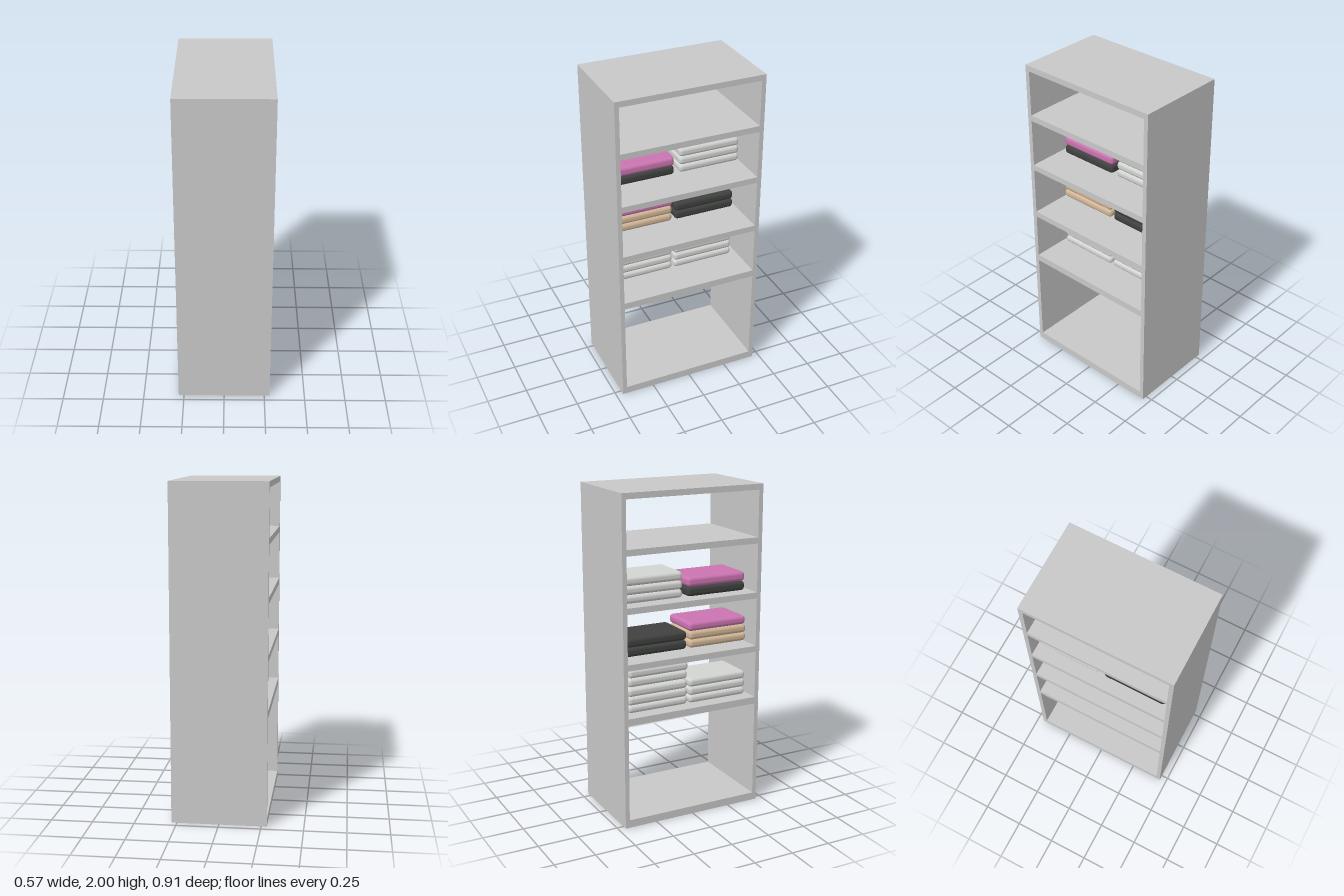
import * as THREE from 'three';
import { RoundedBoxGeometry } from 'three/addons/geometries/RoundedBoxGeometry.js';

const material = (name, color, side = THREE.FrontSide) => {
  const m = new THREE.MeshStandardMaterial({ color, side });
  m.name = name;
  return m;
};

const HALF_X = 0.283, HALF_Z = 0.457, INNER_Z = 0.43;

function rectangle(target, x0, x1, y0, y1) {
  target.moveTo(x0, y0);
  target.lineTo(x1, y0);
  target.lineTo(x1, y1);
  target.lineTo(x0, y1);
  target.closePath();
  return target;
}

// Shelf frame: a rectangle with five open compartments, extruded along x
function frameGeometry() {
  const shape = rectangle(new THREE.Shape(), -HALF_Z, HALF_Z, 0, 2);
  const compartments = [[0.048, 0.646], [0.689, 0.98], [1.017, 1.314], [1.351, 1.648], [1.685, 1.965]];
  for (const [y0, y1] of compartments) {
    shape.holes.push(rectangle(new THREE.Path(), -INNER_Z, INNER_Z, y0, y1));
  }
  const solid = new THREE.ExtrudeGeometry(shape, { depth: HALF_X * 2, bevelEnabled: false });
  solid.translate(0, 0, -HALF_X).rotateY(Math.PI / 2);

  // Leave the base open underneath: drop the triangles lying on y = 0
  const p = solid.attributes.position;
  const kept = [];
  for (let i = 0; i < p.count; i += 3) {
    if (Math.max(p.getY(i), p.getY(i + 1), p.getY(i + 2)) < 1e-5) continue;
    for (let k = i; k < i + 3; k++) kept.push(p.getX(k), p.getY(k), p.getZ(k));
  }
  const open = new THREE.BufferGeometry();
  open.setAttribute('position', new THREE.Float32BufferAttribute(kept, 3));
  open.computeVertexNormals();
  return open;
}

export function createModel() {
  const model = new THREE.Group();
  model.name = 'linenShelf';

  const grey = material('shelfGrey', 0xc8c8c8, THREE.DoubleSide);
  const white = material('whiteLinen', 0xd2d4d1);
  const dark = material('charcoalLinen', 0x3f413f);
  const pink = material('pinkLinen', 0xcb74b1);
  const tan = material('tanLinen', 0xd0b596);

  const frame = new THREE.Mesh(frameGeometry(), grey);
  frame.name = 'shelfFrame';
  model.add(frame);

  // Folded linen: stack name, then [material, bottom, top, centre z] for each piece
  const stacks = {
    lowerFrontStack: [[white, 0.689, 0.737, 0.212], [white, 0.737, 0.79, 0.212], [white, 0.79, 0.843, 0.212]],
    lowerBackStack: [
      [white, 0.689, 0.737, -0.194], [white, 0.737, 0.79, -0.194], [white, 0.79, 0.843, -0.194],
      [white, 0.85, 0.903, -0.194], [white, 0.904, 0.958, -0.189],
    ],
    middleFrontStack: [[tan, 1.036, 1.087, 0.212], [tan, 1.087, 1.14, 0.212], [pink, 1.14, 1.194, 0.207]],
    middleBackStack: [[dark, 1.036, 1.092, -0.2], [dark, 1.092, 1.148, -0.2]],
    upperFrontStack: [[dark, 1.353, 1.41, 0.197], [pink, 1.41, 1.469, 0.197]],
    upperBackStack: [[white, 1.354, 1.404, -0.228], [white, 1.404, 1.457, -0.228], [white, 1.457, 1.511, -0.228]],
  };

  for (const [name, pieces] of Object.entries(stacks)) {
    const stack = new THREE.Group();
    stack.name = name;
    for (const [mat, y0, y1, z] of pieces) {
      const piece = new THREE.Mesh(new RoundedBoxGeometry(0.265, y1 - y0, 0.392, 3, 0.021), mat);
      piece.name = 'foldedLinen';
      piece.position.set(-0.075, (y0 + y1) / 2, z);
      stack.add(piece);
    }
    model.add(stack);
  }
  return model;
}
